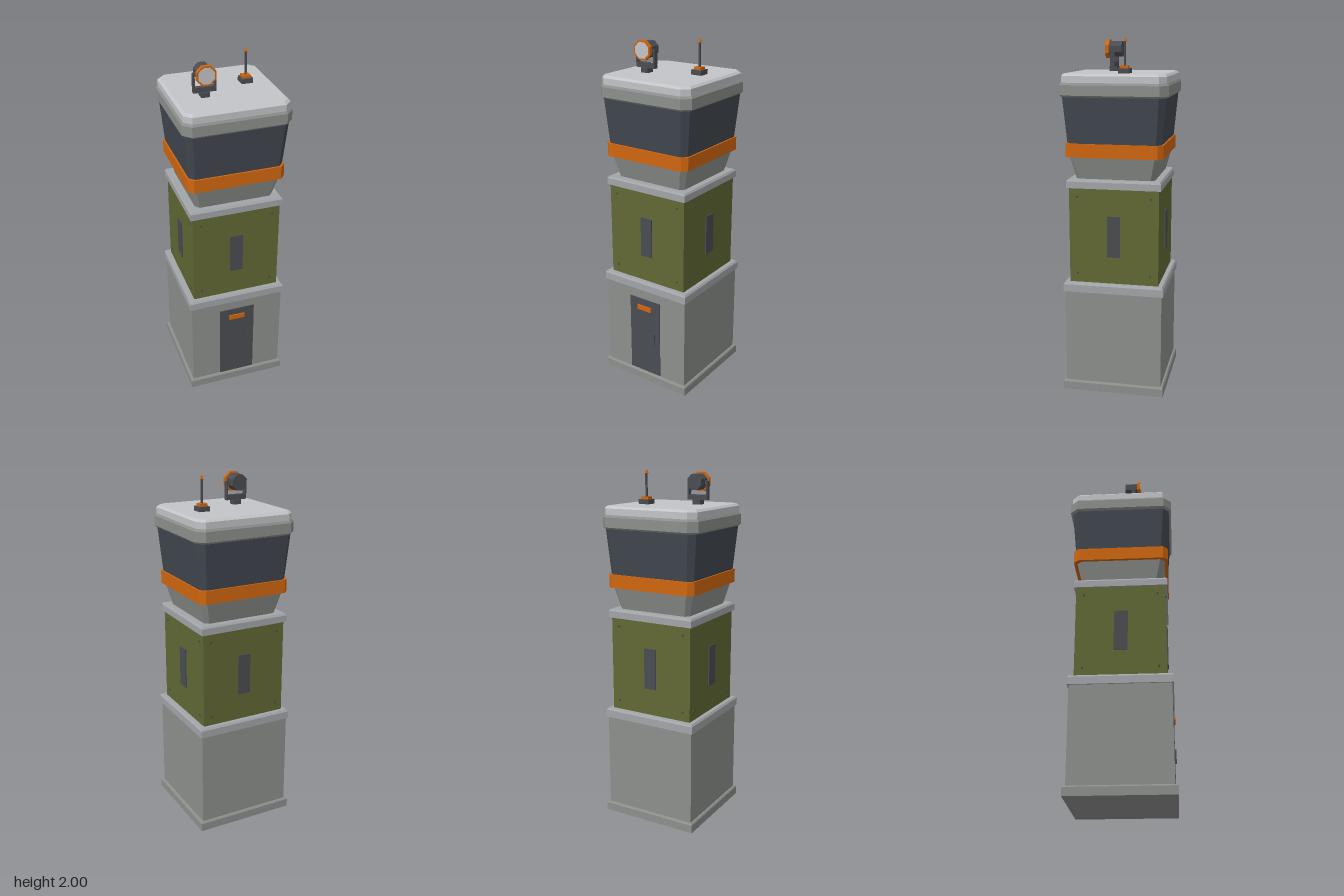
import * as THREE from 'three';

const mat = (name, color) => {
  const m = new THREE.MeshStandardMaterial({ color });
  m.name = name;
  return m;
};

// Square ring with cut corners, running front, right, back, left
function ring([half, cut, y]) {
  const f = half - cut;
  const pts = [];
  for (let i = 0; i < 4; i++) {
    const a = (i * Math.PI) / 2, c = Math.cos(a), s = Math.sin(a);
    for (const x of [-f, f]) pts.push([x * c + half * s, y, -x * s + half * c]);
  }
  return cut > 0 ? pts : pts.filter((_, i) => i % 2 === 0);
}

// Closed, flat-faced solid through rings of [half width, corner cut, height]
function loft(sections) {
  const rings = sections.map(ring);
  const n = rings[0].length, pos = [];
  const tri = (...p) => p.forEach((q) => pos.push(...q));
  for (let r = 0; r < rings.length - 1; r++) {
    for (let i = 0; i < n; i++) {
      const j = (i + 1) % n, lo = rings[r], hi = rings[r + 1];
      tri(lo[i], lo[j], hi[j]);
      tri(lo[i], hi[j], hi[i]);
    }
  }
  const bottom = rings[0], top = rings[rings.length - 1];
  for (let i = 1; i < n - 1; i++) {
    tri(bottom[0], bottom[i + 1], bottom[i]);
    tri(top[0], top[i], top[i + 1]);
  }
  const g = new THREE.BufferGeometry();
  g.setAttribute('position', new THREE.Float32BufferAttribute(pos, 3));
  g.computeVertexNormals();
  return g;
}

// Flat-sided cylinder or cone standing on y, with sides square to the axes
function prism(rTop, rBottom, height, sides) {
  const g = new THREE.CylinderGeometry(rTop, rBottom, height, sides).rotateY(Math.PI / sides).toNonIndexed();
  g.computeVertexNormals();
  return g;
}

export function createModel() {
  const concrete = mat('concrete', 0x8c8f8c);
  const trim = mat('trim grey', 0xa2a5a8);
  const pale = mat('pale grey', 0xc3c4c8);
  const olive = mat('olive', 0x616834);
  const dark = mat('dark metal', 0x494c51);
  const glass = mat('window glass', 0x424850);
  const orange = mat('orange', 0xd0660f);

  const model = new THREE.Group();
  model.name = 'watchTower';
  const add = (parent, name, geometry, material, x = 0, y = 0, z = 0) => {
    const mesh = new THREE.Mesh(geometry, material);
    mesh.name = name;
    mesh.position.set(x, y, z);
    parent.add(mesh);
    return mesh;
  };
  const box = (parent, name, material, size, at) =>
    add(parent, name, new THREE.BoxGeometry(...size), material, ...at);
  const group = (name, x = 0, y = 0, z = 0) => {
    const g = new THREE.Group();
    g.name = name;
    g.position.set(x, y, z);
    model.add(g);
    return g;
  };

  // Tower body, from the ground up
  add(model, 'plinth', loft([[0.291, 0, 0], [0.291, 0, 0.046], [0.285, 0, 0.054]]), concrete);
  add(model, 'lowerWalls', loft([[0.275, 0, 0.05], [0.275, 0, 0.6]]), concrete);
  add(model, 'lowerLedge', loft([[0.284, 0, 0.595], [0.284, 0, 0.637], [0.276, 0, 0.648]]), trim);
  add(model, 'middleWalls', loft([[0.252, 0, 0.64], [0.252, 0, 1.195]]), olive);
  add(model, 'upperLedge', loft([[0.264, 0, 1.188], [0.264, 0, 1.225], [0.256, 0, 1.236]]), trim);

  // Control cabin with cut corners
  add(model, 'flaredNeck', loft([[0.22, 0.022, 1.23], [0.254, 0.027, 1.365]]), concrete);
  add(model, 'cabinBand', loft([[0.271, 0.028, 1.36], [0.271, 0.028, 1.435]]), orange);
  add(model, 'cabinWindows', loft([[0.261, 0.028, 1.43], [0.284, 0.034, 1.695]]), glass);
  add(model, 'roofSlab', loft([
    [0.288, 0.038, 1.685], [0.297, 0.043, 1.695], [0.297, 0.043, 1.75], [0.289, 0.04, 1.762],
  ]), concrete);
  add(model, 'roofCap', loft([[0.287, 0.038, 1.76], [0.287, 0.038, 1.797], [0.274, 0.034, 1.809]]), pale);

  // Door with sign plate and handle
  const door = group('door', 0, 0, 0.275);
  box(door, 'doorPanel', dark, [0.21, 0.48, 0.008], [0, 0.296, 0]);
  box(door, 'doorSign', orange, [0.095, 0.03, 0.009], [-0.002, 0.48, 0.0065]);
  box(door, 'doorHandle', dark, [0.01, 0.078, 0.012], [0.067, 0.29, 0.007]);

  // Slit window and corner bolts on each middle wall
  for (let i = 0; i < 4; i++) {
    const side = group('middleWallFittings');
    side.rotation.y = (i * Math.PI) / 2;
    box(side, 'slitWindow', dark, [0.074, 0.233, 0.009], [0, 0.918, 0.254]);
    for (const x of [-0.207, 0.207]) {
      for (const y of [0.7, 1.14]) {
        add(side, 'bolt', prism(0.007, 0.007, 0.008, 6).rotateX(Math.PI / 2), dark, x, y, 0.253);
      }
    }
  }

  // Searchlight on a forked stand
  const light = group('searchlight', -0.12, 0, 0.073);
  box(light, 'standFoot', dark, [0.046, 0.03, 0.048], [0, 1.821, 0]);
  box(light, 'forkBase', dark, [0.122, 0.028, 0.026], [0, 1.848, 0]);
  for (const s of [-1, 1]) {
    box(light, 'forkArm', dark, [0.009, 0.082, 0.026], [s * 0.0575, 1.896, 0]);
    box(light, 'forkPivot', dark, [0.014, 0.016, 0.016], [s * 0.048, 1.93, 0]);
  }
  const k = 1 / Math.cos(Math.PI / 8);
  const barrel = (name, r, z0, z1, material) =>
    add(light, name, prism(r * k, r * k, z1 - z0, 8).rotateX(Math.PI / 2), material, 0, 1.932, (z0 + z1) / 2);
  barrel('lampHousing', 0.043, -0.05, 0.022, dark);
  barrel('lampRim', 0.052, 0.022, 0.043, orange);
  barrel('lampLens', 0.043, 0.04, 0.045, pale);

  // Antenna
  const antenna = group('antenna', 0.147, 0, -0.042);
  box(antenna, 'antennaBase', dark, [0.064, 0.03, 0.064], [0, 1.82, 0]);
  box(antenna, 'antennaCollar', orange, [0.044, 0.015, 0.044], [0, 1.842, 0]);
  box(antenna, 'antennaMast', dark, [0.01, 0.135, 0.01], [0, 1.915, 0]);
  add(antenna, 'antennaTip', prism(0, 0.0125, 0.022, 4), orange, 0, 1.989, 0);

  return model;
}
